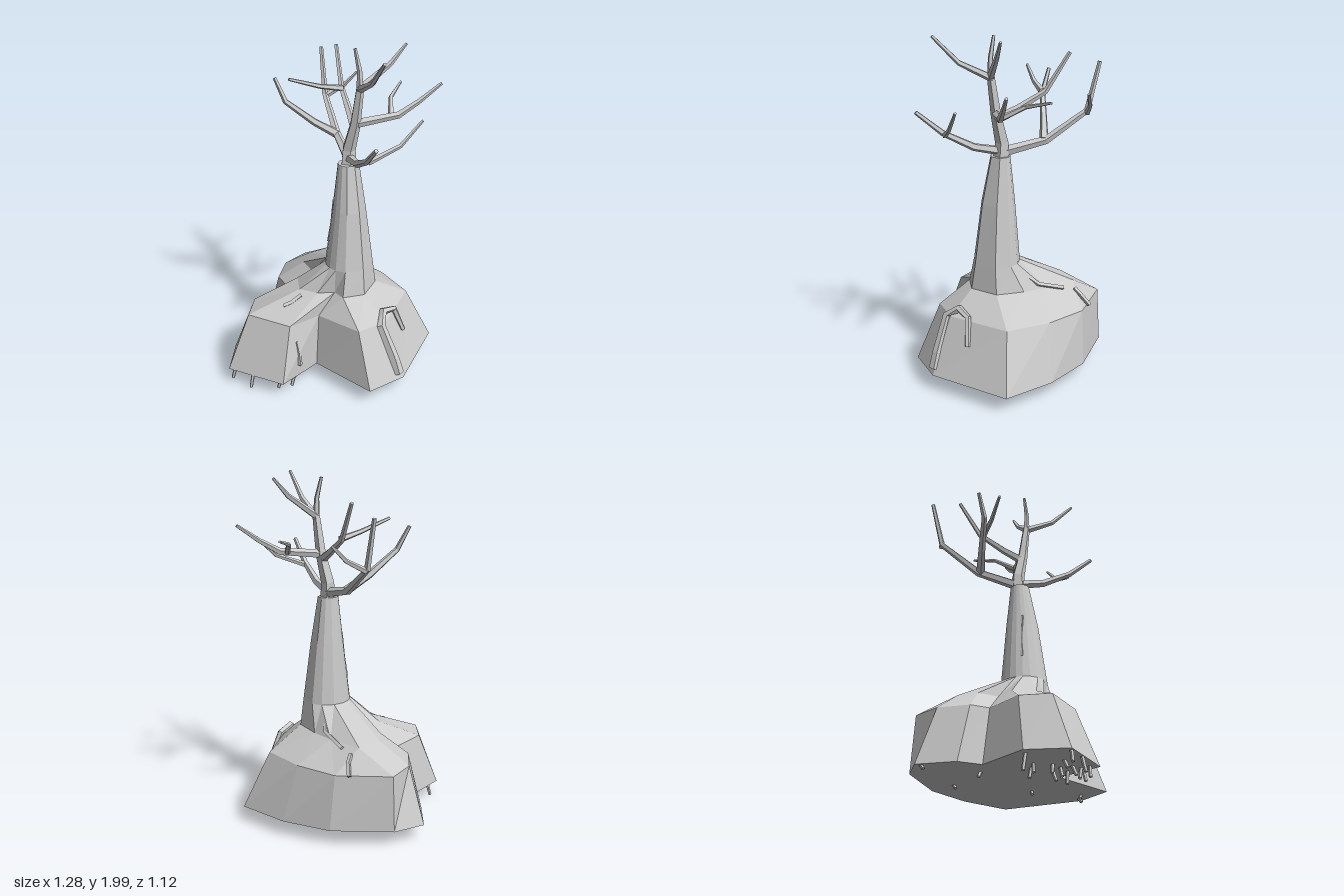
import * as THREE from 'three';

const material = new THREE.MeshStandardMaterial({ color: 0xcccccc, flatShading: true, side: THREE.DoubleSide });

// Skin a list of equal-length rings; optionally close the ends with fans
function loft(rings, capStart = true, capEnd = true) {
  const pos = [];
  const tri = (...v) => v.forEach(p => pos.push(p.x, p.y, p.z));
  const n = rings[0].length;
  for (let r = 0; r < rings.length - 1; r++) {
    for (let i = 0; i < n; i++) {
      const j = (i + 1) % n;
      const a = rings[r][i], b = rings[r][j], c = rings[r + 1][j], d = rings[r + 1][i];
      tri(a, b, c);
      tri(a, c, d);
    }
  }
  const cap = (ring, flip) => {
    for (let i = 1; i < n - 1; i++) {
      if (flip) tri(ring[0], ring[i + 1], ring[i]);
      else tri(ring[0], ring[i], ring[i + 1]);
    }
  };
  if (capStart) cap(rings[0], true);
  if (capEnd) cap(rings[rings.length - 1], false);
  const geo = new THREE.BufferGeometry();
  geo.setAttribute('position', new THREE.Float32BufferAttribute(pos, 3));
  geo.computeVertexNormals();
  return geo;
}

// Tapered limb along a polyline, with few sides
function limb(points, r0, r1, sides = 5) {
  const p = points.map(q => new THREE.Vector3(...q));
  const dir = p[p.length - 1].clone().sub(p[0]).normalize();
  const axes = [new THREE.Vector3(1, 0, 0), new THREE.Vector3(0, 1, 0), new THREE.Vector3(0, 0, 1)];
  const ref = axes.sort((a, b) => Math.abs(a.dot(dir)) - Math.abs(b.dot(dir)))[0];
  const rings = p.map((c, k) => {
    const t = p[Math.min(k + 1, p.length - 1)].clone().sub(p[Math.max(k - 1, 0)]).normalize();
    const u = ref.clone().cross(t).normalize();
    const v = t.clone().cross(u);
    const r = THREE.MathUtils.lerp(r0, r1, k / (p.length - 1));
    return Array.from({ length: sides }, (_, i) => {
      const a = (i / sides) * Math.PI * 2;
      return c.clone().addScaledVector(u, r * Math.cos(a)).addScaledVector(v, r * Math.sin(a));
    });
  });
  return loft(rings);
}

export function createModel() {
  const tree = new THREE.Group();
  tree.name = 'tree';
  const add = (name, geo, parent = tree) => {
    const mesh = new THREE.Mesh(geo, material);
    mesh.name = name;
    parent.add(mesh);
    return mesh;
  };

  // Lobed root mound: ground outline, shoulder and crown as [x, z]
  const outline = [[-0.64, 0.13], [-0.365, 0.365], [-0.125, 0.22], [0.1, 0.56], [0.33, 0.485], [0.64, 0.105],
    [0.505, -0.17], [0.315, -0.39], [0, -0.56], [-0.19, -0.56], [-0.29, -0.36], [-0.265, -0.225], [-0.56, -0.09]];
  const shoulder = [[-0.5, 0.08], [-0.295, 0.265], [-0.105, 0.2], [0.07, 0.42], [0.25, 0.37], [0.48, 0.08],
    [0.41, -0.17], [0.28, -0.385], [0, -0.54], [-0.15, -0.45], [-0.235, -0.29], [-0.21, -0.18], [-0.43, -0.08]];
  const crown = [[-0.19, 0.08], [-0.1, 0.15], [0, 0.17], [0.03, 0.24], [0.16, 0.24], [0.27, 0.11],
    [0.25, -0.05], [0.21, -0.18], [0.12, -0.36], [-0.03, -0.32], [-0.09, -0.22], [-0.06, -0.1], [-0.17, -0.05]];
  const level = (pts, y) => pts.map(([x, z]) => new THREE.Vector3(x, y, z));

  // Trunk rings follow the same spokes as the mound
  const spokes = [180, 160, 140, 115, 70, 10, -30, -55, -85, -110, -128, -145, -162];
  const trunkRing = (cx, y, cz, rx, rz) => spokes.map(deg => {
    const a = THREE.MathUtils.degToRad(deg);
    return new THREE.Vector3(cx + rx * Math.cos(a), y, cz + rz * Math.sin(a));
  });
  const neck = trunkRing(0.11, 0.7, 0.09, 0.14, 0.135);
  add('rootMound', loft([level(outline, 0.1), level(shoulder, 0.425), level(crown, 0.55), neck], false, false));
  add('trunk', loft([neck, trunkRing(0.11, 1.05, 0.08, 0.095, 0.097), trunkRing(0.107, 1.32, 0.065, 0.06, 0.056)], false, true));

  // Flat underside
  const underside = new THREE.ShapeGeometry(new THREE.Shape(outline.map(q => new THREE.Vector2(...q))));
  underside.rotateX(Math.PI / 2).translate(0, 0.1, 0);
  add('underside', underside);

  // Bare branches: path, start radius, end radius
  const branches = {
    leader: [[[0.107, 1.28, 0.06], [0.11, 1.4, 0.055], [0.135, 1.56, 0.09], [0.15, 1.78, 0.12]], 0.048, 0.022],
    frontBranch: [[[0.11, 1.345, 0.04], [0.11, 1.375, 0.21], [0.11, 1.46, 0.38], [0.11, 1.58, 0.525]], 0.028, 0.012],
    frontTwig: [[[0.12, 1.45, 0.37], [0.3, 1.52, 0.36], [0.43, 1.64, 0.335]], 0.017, 0.008],
    backBranch: [[[0.11, 1.34, 0.06], [0.11, 1.4, -0.19], [0.105, 1.56, -0.42], [0.1, 1.83, -0.485]], 0.03, 0.012],
    backTwig: [[[0.11, 1.55, -0.42], [0.22, 1.61, -0.41], [0.29, 1.69, -0.385]], 0.018, 0.008],
    rightBranch: [[[0.11, 1.4, -0.18], [-0.02, 1.48, -0.2], [-0.18, 1.61, -0.22], [-0.23, 1.74, -0.265]], 0.027, 0.011],
    upperBackBranch: [[[0.13, 1.53, 0.09], [0.135, 1.59, -0.03], [0.135, 1.68, -0.18], [0.14, 1.89, -0.31]], 0.026, 0.011],
    upperRightTwig: [[[0.135, 1.68, -0.16], [0, 1.71, -0.14], [-0.18, 1.77, -0.13]], 0.019, 0.009],
    leftBranch: [[[0.13, 1.56, 0.09], [0.38, 1.59, 0.1], [0.5, 1.66, 0.1], [0.625, 1.75, 0.1]], 0.026, 0.009],
    leftTwig: [[[0.34, 1.585, 0.09], [0.38, 1.65, -0.03], [0.48, 1.69, -0.15]], 0.018, 0.007],
    topFrontBranch: [[[0.15, 1.76, 0.11], [0.16, 1.85, 0.29], [0.175, 1.995, 0.43]], 0.022, 0.009],
    topLeftBranch: [[[0.15, 1.77, 0.12], [0.32, 1.89, 0.11], [0.41, 1.99, 0.1]], 0.022, 0.008],
    topTwig: [[[0.15, 1.76, 0.12], [0.145, 1.87, 0.12], [0.125, 1.985, 0.1]], 0.02, 0.009],
  };
  for (const [name, [path, r0, r1]] of Object.entries(branches)) add(name, limb(path, r0, r1));

  // Root arching out of the front lobe, and half-buried roots and bark ridges
  add('archedRoot', limb([[0.3, 0.13, 0.47], [0.28, 0.22, 0.45], [0.215, 0.42, 0.385], [0.25, 0.47, 0.32],
    [0.33, 0.45, 0.28], [0.39, 0.3, 0.29]], 0.035, 0.015));
  const ridges = new THREE.Group();
  ridges.name = 'barkRidges';
  tree.add(ridges);
  [
    [[-0.39, 0.4, 0.17], [-0.38, 0.35, 0.215], [-0.365, 0.3, 0.25]],
    [[-0.26, 0.32, 0.27], [-0.25, 0.25, 0.287], [-0.245, 0.17, 0.3]],
    [[-0.3, 0.485, 0.13], [-0.25, 0.5, 0.13], [-0.19, 0.535, 0.12]],
    [[0.17, 0.65, -0.03], [0.22, 0.58, -0.14], [0.19, 0.535, -0.29]],
    [[0.17, 0.52, -0.36], [0.2, 0.49, -0.39], [0.22, 0.43, -0.44]],
    [[0.03, 1.1, 0.06], [0.02, 0.95, 0.05], [0, 0.83, 0.05]],
  ].forEach(path => add('barkRidge', limb(path, 0.013, 0.013, 4), ridges));

  // Rootlets hanging below: [x, z, length]
  const rootlets = new THREE.Group();
  rootlets.name = 'rootlets';
  tree.add(rootlets);
  [
    [-0.6, 0.14, 0.06], [-0.51, 0.22, 0.08], [-0.5, -0.06, 0.09], [-0.43, 0.15, 0.04], [-0.36, 0.31, 0.06],
    [-0.35, 0.12, 0.05], [-0.34, 0.22, 0.05], [-0.32, 0.28, 0.06], [-0.3, 0.17, 0.05], [-0.28, 0.3, 0.06],
    [-0.27, 0.03, 0.06], [-0.25, 0.14, 0.06], [-0.24, 0.23, 0.07], [-0.34, 0.02, 0.05], [-0.17, -0.53, 0.02],
    [-0.12, -0.2, 0.03], [0.17, -0.3, 0.02], [0.2, 0.15, 0.02], [0.22, 0.45, 0.02], [0.3, 0.45, 0.02],
  ].forEach(([x, z, len], i) => {
    const lean = 0.02 * Math.sin(i * 2.4);
    add('rootlet', limb([[x, 0.115, z], [x - 0.02, 0.1 - len, z + lean]], 0.011, 0.01), rootlets);
  });

  return tree;
}
